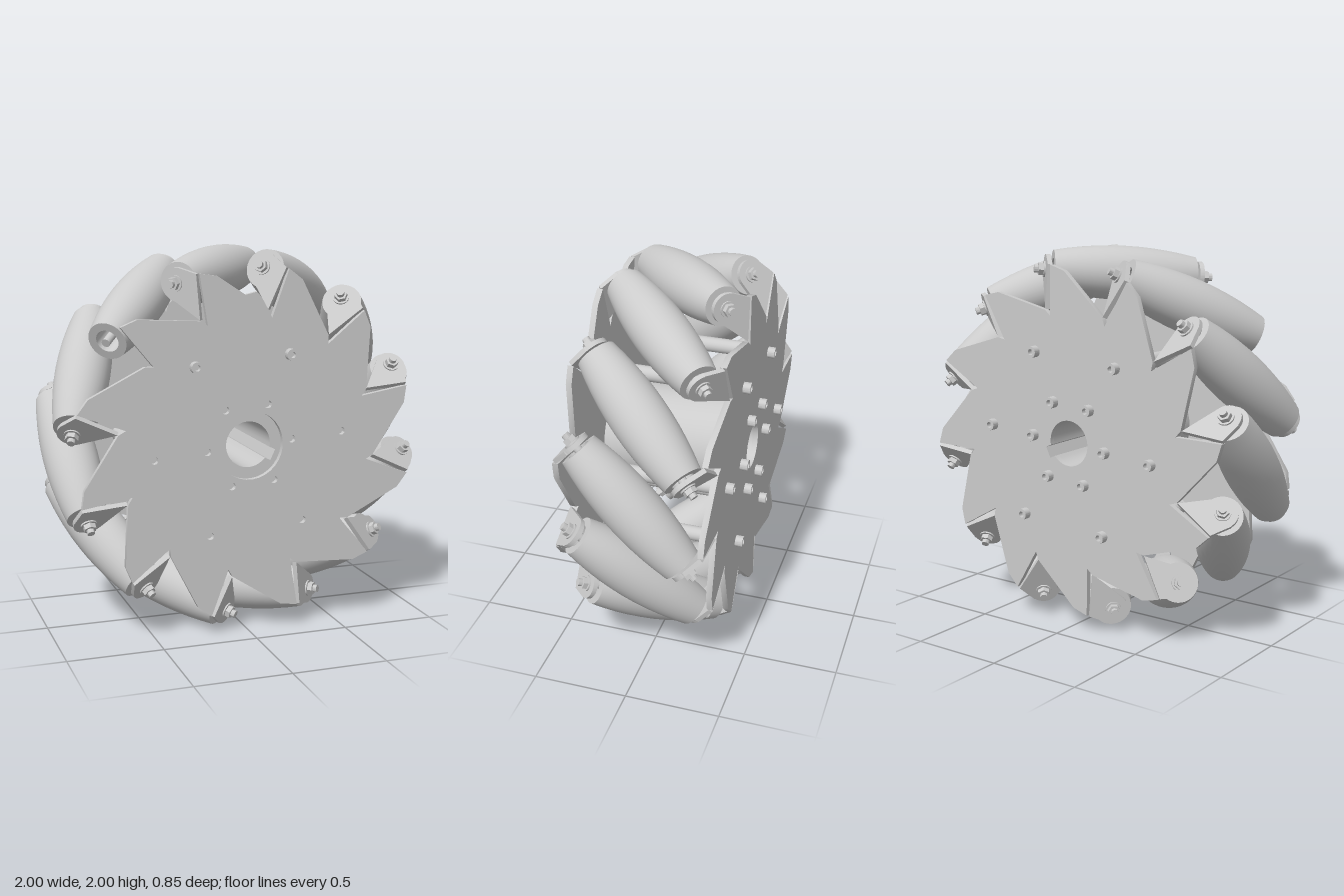
import * as THREE from 'three';
import { toCreasedNormals } from 'three/addons/utils/BufferGeometryUtils.js';

const COUNT = 12, STEP = Math.PI * 2 / COUNT;
const ROLLER_R = 0.858;          // distance of roller axes from the wheel axis
const HALF = 0.375;              // half length of a roller
const PLATE_IN = 0.355, PLATE_T = 0.03;
const BOLT_V = 0.124;            // bolt distance from the fold, along the tab

const mat = new THREE.MeshStandardMaterial({ color: 0xcccccc, side: THREE.DoubleSide });

function add(parent, name, geo, x = 0, y = 0, z = 0) {
  const mesh = new THREE.Mesh(geo, mat);
  mesh.name = name;
  mesh.position.set(x, y, z);
  parent.add(mesh);
  return mesh;
}

const crease = (geo) => toCreasedNormals(geo, 0.6);
const extrude = (shape, depth) => crease(new THREE.ExtrudeGeometry(shape,
  { depth, bevelEnabled: false, curveSegments: 16 }));
const lathe = (pts, seg) => crease(new THREE.LatheGeometry(pts.map(p => new THREE.Vector2(...p)), seg));
const rodZ = (r, length, seg = 20) => crease(new THREE.CylinderGeometry(r, r, length, seg).rotateX(Math.PI / 2));

function roundHole(x, y, r) {
  return new THREE.Path().absarc(x, y, r, 0, Math.PI * 2, true);
}

// Bore with a rectangular keyway at the given angle
function keyedBore(angle) {
  const path = new THREE.Path(), r = 0.12, half = 0.26;
  path.absarc(0, 0, r, angle + half, angle - half + Math.PI * 2, false);
  const w = r * Math.sin(half), c = Math.cos(angle), s = Math.sin(angle);
  path.lineTo(0.15 * c + w * s, 0.15 * s - w * c);
  path.lineTo(0.15 * c - w * s, 0.15 * s + w * c);
  path.closePath();
  return path;
}

// Saw-toothed side plate with its bolt holes
function plateGeometry(bore) {
  const tooth = [[0.68, -0.155], [0.88, 0.10], [0.90, 0.19], [0.64, 0.17]];
  const pts = [];
  for (let k = 0; k < COUNT; k++)
    for (const [x, y] of tooth)
      pts.push(new THREE.Vector2(x, y).rotateAround(new THREE.Vector2(), k * STEP));
  const shape = new THREE.Shape(pts);
  shape.holes.push(bore);
  for (let k = 0; k < 6; k++) {
    const a = k * Math.PI / 3;
    for (const r of [0.23, 0.51])
      shape.holes.push(roundHole(r * Math.cos(a), r * Math.sin(a), 0.02));
  }
  return extrude(shape, PLATE_T);
}

// Folded tab: x runs radially, y away from the fold
function tabGeometry() {
  const s = new THREE.Shape();
  s.moveTo(0.67, 0);
  s.lineTo(0.90, 0);
  s.lineTo(ROLLER_R + 0.078, BOLT_V - 0.02);
  s.absarc(ROLLER_R, BOLT_V, 0.078, -0.2, 2.4, false);
  s.closePath();
  return extrude(s, 0.024);
}

// Barrel roller whose profile follows the wheel's outer circle
function rollerGeometry() {
  const pts = [[0.06, -HALF]];
  for (let i = 0; i <= 10; i++) {
    const s = -HALF + 2 * HALF * i / 10;
    pts.push([1 - Math.hypot(ROLLER_R, s * Math.SQRT1_2), s]);
  }
  pts.push([0.06, HALF], [0.06, -HALF]);
  return lathe(pts, 36);
}

export function createModel() {
  const model = new THREE.Group();
  model.name = 'rollerWheel';
  const wheel = new THREE.Group();
  wheel.name = 'wheel';
  wheel.position.y = 1;
  wheel.rotation.z = THREE.MathUtils.degToRad(5);
  model.add(wheel);

  // Rollers on slanted axles
  const rollerGeo = rollerGeometry();
  const axleGeo = new THREE.CylinderGeometry(0.022, 0.022, 2 * HALF + 0.04, 12);
  for (let k = 0; k < COUNT; k++) {
    const spoke = new THREE.Group();
    spoke.name = 'rollerUnit';
    spoke.rotation.z = k * STEP;
    wheel.add(spoke);
    add(spoke, 'roller', rollerGeo, ROLLER_R).rotation.x = Math.PI / 4;
    add(spoke, 'axle', axleGeo, ROLLER_R).rotation.x = Math.PI / 4;
  }

  // Side plates with folded tabs; the back is the front turned over
  const tabGeo = tabGeometry();
  const washerGeo = rodZ(0.042, 0.008);
  const nutGeo = rodZ(0.034, 0.026, 6);
  const endGeo = rodZ(0.02, 0.024, 12);
  for (const back of [false, true]) {
    const side = new THREE.Group();
    side.name = back ? 'backSide' : 'frontSide';
    if (back) side.rotation.x = Math.PI;
    wheel.add(side);
    const bore = back ? keyedBore(Math.PI / 6) : roundHole(0, 0, 0.18);
    add(side, 'sidePlate', plateGeometry(bore), 0, 0, PLATE_IN);
    for (let k = 0; k < COUNT; k++) {
      if (!back && k === 4) continue; // one roller end is left open
      const arm = new THREE.Group();
      arm.name = 'tabUnit';
      arm.rotation.z = k * STEP;
      side.add(arm);
      const tab = new THREE.Group();
      tab.name = 'foldedTab';
      tab.position.set(0, 0.19, 0.365);
      tab.rotation.x = -Math.PI / 4;
      arm.add(tab);
      add(tab, 'tab', tabGeo);
      add(tab, 'washer', washerGeo, ROLLER_R, BOLT_V, 0.028);
      add(tab, 'nut', nutGeo, ROLLER_R, BOLT_V, 0.045);
      add(tab, 'boltEnd', endGeo, ROLLER_R, BOLT_V, 0.068);
    }
  }

  // Hub with keyed bore
  const hubShape = new THREE.Shape().absarc(0, 0, 0.27, 0, Math.PI * 2, false);
  hubShape.holes.push(keyedBore(-Math.PI / 6));
  add(wheel, 'hub', extrude(hubShape, 2 * PLATE_IN), 0, 0, -PLATE_IN);

  // Spacer rods and socket-head screws
  const spacerGeo = rodZ(0.04, 2 * PLATE_IN);
  const headGeo = lathe([[0, 0.012], [0.016, 0.012], [0.016, 0.04], [0.03, 0.04], [0.03, 0], [0, 0]], 20)
    .rotateX(Math.PI / 2);
  const outer = PLATE_IN + PLATE_T;
  for (let k = 0; k < 6; k++) {
    const a = k * Math.PI / 3, c = Math.cos(a), s = Math.sin(a);
    add(wheel, 'spacerRod', spacerGeo, 0.51 * c, 0.51 * s);
    for (const r of [0.23, 0.51])
      add(wheel, 'backScrewHead', headGeo, r * c, r * s, -outer).rotation.x = Math.PI;
    if (k === 1 || k === 2)
      add(wheel, 'frontScrewHead', headGeo, 0.51 * c, 0.51 * s, outer);
  }
  return model;
}
